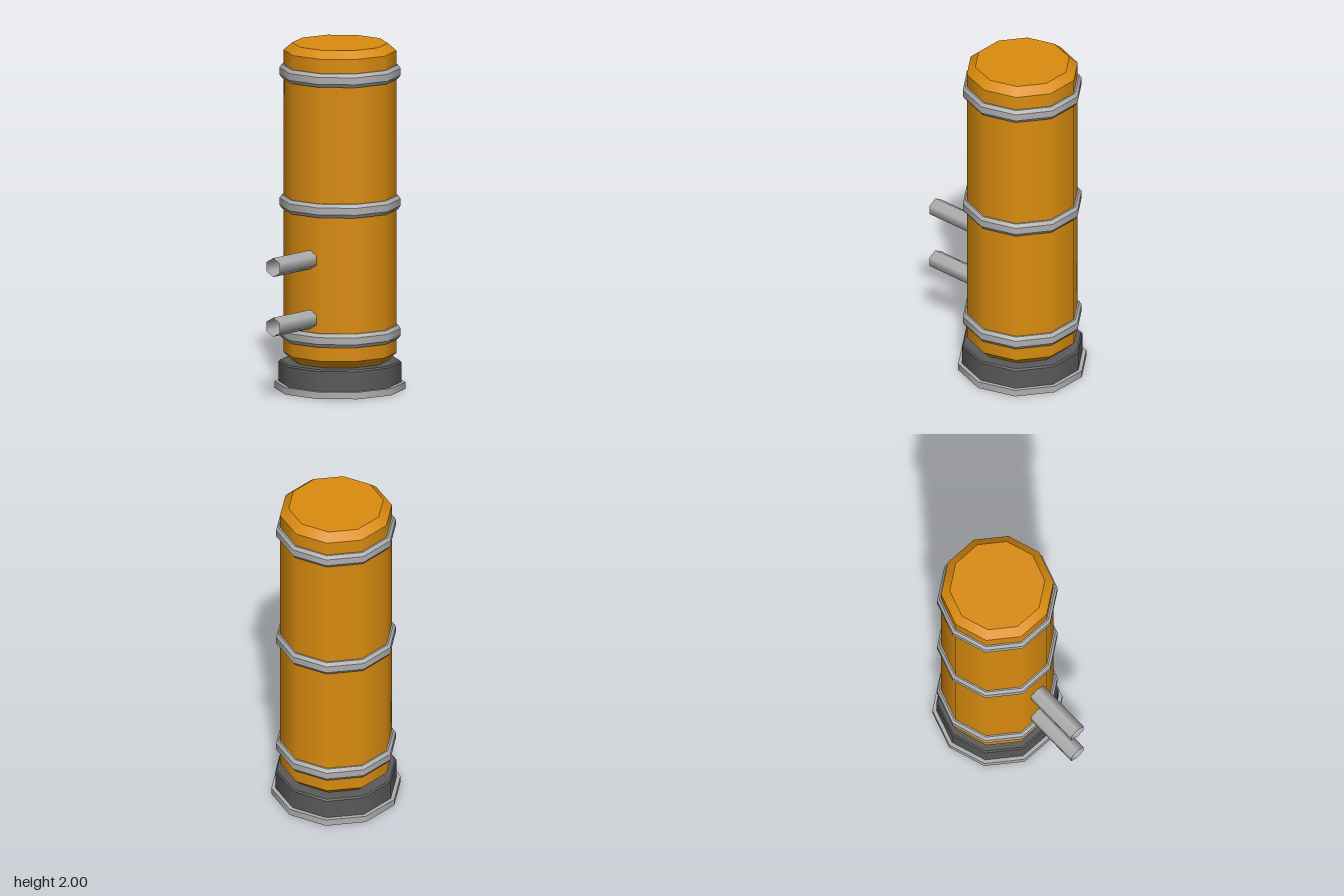
import * as THREE from 'three';
import { mergeGeometries } from 'three/addons/utils/BufferGeometryUtils.js';

const SIDES = 10;
const AXIS_Z = -0.145;

// Ten-sided turned shape: smooth around, sharp at every profile corner.
function turned(points) {
  const parts = [];
  for (let i = 0; i < points.length - 1; i++) {
    const pair = [points[i], points[i + 1]].map(([r, y]) => new THREE.Vector2(r, y));
    parts.push(new THREE.LatheGeometry(pair, SIDES, Math.PI / 2));
  }
  return mergeGeometries(parts);
}

export function createModel() {
  const orange = new THREE.MeshStandardMaterial({ color: 0xda8c0f });
  orange.name = 'orange paint';
  const steel = new THREE.MeshStandardMaterial({ color: 0xb0b0b0, side: THREE.DoubleSide });
  steel.name = 'light grey steel';
  const dark = new THREE.MeshStandardMaterial({ color: 0x5a5a5a });
  dark.name = 'dark grey steel';

  const model = new THREE.Group();
  model.name = 'storageTank';

  function add(name, geometry, material, x, y, z) {
    const mesh = new THREE.Mesh(geometry, material);
    mesh.name = name;
    mesh.position.set(x, y, z);
    model.add(mesh);
    return mesh;
  }

  // Tank body with chamfered ends
  add('tankBody', turned([
    [0, 0.163], [0.273, 0.163], [0.323, 0.21], [0.323, 1.957], [0.273, 2], [0, 2],
  ]), orange, 0, 0, AXIS_Z);

  // Bevelled hoops around the tank
  const hoop = turned([
    [0.32, -0.04], [0.332, -0.04], [0.346, -0.02], [0.346, 0.02], [0.332, 0.04], [0.32, 0.04],
  ]);
  for (const y of [0.33, 1.08, 1.835]) add('hoop', hoop, steel, 0, y, AXIS_Z);

  // Base: dark collar, recessed ceiling, and foot flange with its inner wall
  add('baseCollar', turned([
    [0.35, 0.04], [0.35, 0.155], [0.342, 0.164], [0.26, 0.164],
  ]), dark, 0, 0, AXIS_Z);
  add('baseCeiling', turned([[0, 0.12], [0.325, 0.12]]), dark, 0, 0, AXIS_Z);
  add('footFlange', turned([
    [0.325, 0.12], [0.325, 0], [0.373, 0], [0.373, 0.04], [0.345, 0.04],
  ]), steel, 0, 0, AXIS_Z);

  // Two open hexagonal pipes at the front
  const pipe = new THREE.CylinderGeometry(0.055, 0.055, 0.36, 6, 1, true);
  pipe.rotateX(Math.PI / 2);
  for (const y of [0.445, 0.79]) add('pipe', pipe, steel, 0.027, y, 0.32);

  return model;
}
